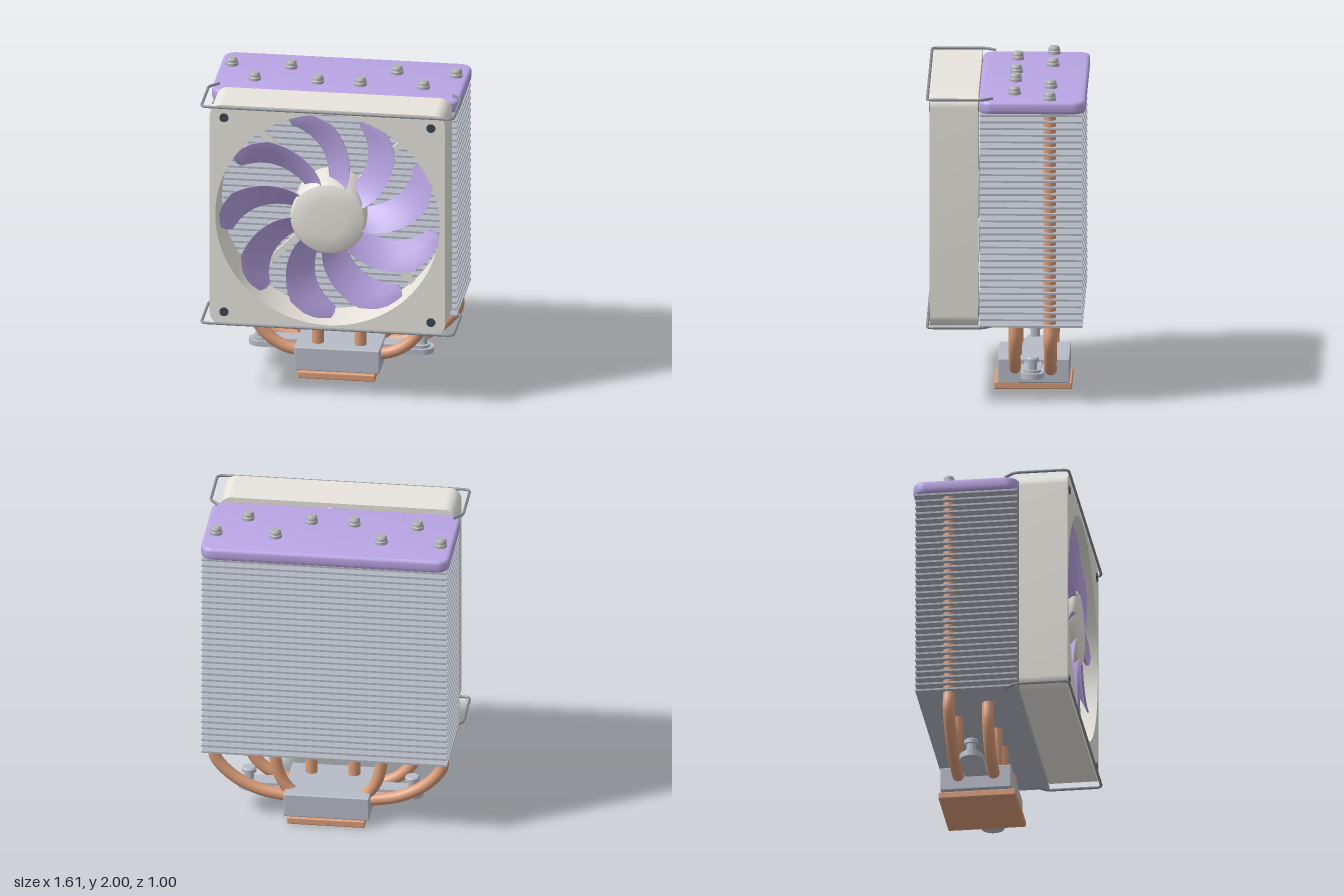
import * as THREE from 'three';
import { toCreasedNormals } from 'three/addons/utils/BufferGeometryUtils.js';
import { RoundedBoxGeometry } from 'three/addons/geometries/RoundedBoxGeometry.js';

const material = (name, color) => {
  const m = new THREE.MeshStandardMaterial({ color });
  m.name = name;
  return m;
};

// Rounded rectangle outline centred on the origin
function roundedRect(w, h, r) {
  const s = new THREE.Shape(), x = w / 2, y = h / 2;
  s.moveTo(-x + r, -y);
  s.lineTo(x - r, -y).absarc(x - r, -y + r, r, -Math.PI / 2, 0, false);
  s.lineTo(x, y - r).absarc(x - r, y - r, r, 0, Math.PI / 2, false);
  s.lineTo(-x + r, y).absarc(-x + r, y - r, r, Math.PI / 2, Math.PI, false);
  s.lineTo(-x, -y + r).absarc(-x + r, -y + r, r, Math.PI, Math.PI * 1.5, false);
  return s;
}

// Smooth turned part from radius and height pairs
const turned = (profile, sides) => toCreasedNormals(
  new THREE.LatheGeometry(profile.map(q => new THREE.Vector2(...q)), sides), 0.6);

// Swept blade: a thin slab remapped to radius, angle and pitch
function bladeGeometry() {
  const g = new THREE.BoxGeometry(1, 1, 0.012, 10, 14, 1);
  const p = g.attributes.position;
  const tip = [0.625, 0.675, 0.695, 0.7, 0.7, 0.63];
  for (let i = 0; i < p.count; i++) {
    const v = 0.5 - p.getX(i), u = p.getY(i) + 0.5;
    const k = Math.min(Math.floor(v * 5), 4);
    const outer = THREE.MathUtils.lerp(tip[k], tip[k + 1], v * 5 - k);
    const r = 0.225 + u * (outer - 0.225);
    const t = Math.max(0, (r - 0.24) / 0.4);
    const right = 61 + 28 * t ** 1.2;
    const left = Math.min(92 + 22 * t ** 2, 115);
    const a = THREE.MathUtils.degToRad(THREE.MathUtils.lerp(right, left, v));
    const pitch = 0.12 - 0.03 * u;
    p.setXYZ(i, r * Math.cos(a), r * Math.sin(a), 0.395 + pitch * (0.5 - v) + p.getZ(i));
  }
  return toCreasedNormals(g, 0.6);
}

export function createModel() {
  const model = new THREE.Group();
  model.name = 'towerCooler';
  const purple = material('purple', 0xb9a5e5);
  const ivory = material('ivory', 0xe7e4dc);
  const copper = material('copper', 0xd99b77);
  const steel = material('steel', 0xb7bbc6);
  const finMetal = material('fin metal', 0xb2b6c0);
  const capMetal = material('cap metal', 0xb0b1b3);
  const wireMetal = material('wire metal', 0x8b8f95);
  const dark = material('dark slate', 0x3d4552);

  const add = (name, geometry, mat, x = 0, y = 0, z = 0, parent = model) => {
    const m = new THREE.Mesh(geometry, mat);
    m.name = name;
    m.position.set(x, y, z);
    parent.add(m);
    return m;
  };

  // Base: copper contact plate and metal block
  add('contactPlate', new RoundedBoxGeometry(0.49, 0.045, 0.49, 2, 0.008), copper, 0, 0.0225, -0.16);
  add('baseBlock', new RoundedBoxGeometry(0.54, 0.155, 0.45, 2, 0.008), steel, 0, 0.122, -0.165);

  // Mounting bar in two tiers, running through the block
  for (const [length, width, y, height] of [[1.17, 0.146, 0.13, 0.035], [1.12, 0.11, 0.165, 0.018]]) {
    const bar = new THREE.ExtrudeGeometry(roundedRect(length, width, width / 2 - 0.001), {
      depth: height, bevelEnabled: false, curveSegments: 12,
    }).rotateX(-Math.PI / 2);
    add('mountBar', toCreasedNormals(bar, 0.6), steel, 0, y, -0.16);
  }

  // Mounting screws
  const mountScrew = turned([[0.03, 0], [0.03, 0.055], [0.045, 0.055], [0.045, 0.078], [0.038, 0.087], [0, 0.087]], 24);
  for (const x of [-0.515, 0.515]) add('mountScrew', mountScrew, steel, x, 0.178, -0.16);

  // Fin stack
  const fin = new THREE.BoxGeometry(1.55, 0.012, 0.645);
  for (let i = 0; i < 33; i++) {
    add('fin', fin, finMetal, 0, 0.51 + i * 0.0422, -0.158);
  }

  // Top cover with softened edges
  const cover = new THREE.ExtrudeGeometry(roundedRect(1.53, 0.63, 0.06), {
    depth: 0.04, bevelEnabled: true, bevelSize: 0.02, bevelThickness: 0.02, bevelSegments: 3, curveSegments: 8,
  });
  cover.rotateX(-Math.PI / 2);
  add('topCover', toCreasedNormals(cover, 0.7), purple, 0, 1.89, -0.165);

  // Heat pipes, bent into the base, with end caps above the cover
  const pipes = [
    { z: -0.275, top: 0.71, bend: [[0.722, 0.4], [0.62, 0.27], [0.45, 0.175], [0.22, 0.13]] },
    { z: -0.05, top: 0.535, bend: [[0.54, 0.38], [0.47, 0.25], [0.35, 0.165], [0.18, 0.13]] },
    { z: -0.275, top: 0.335, bend: [[0.333, 0.38], [0.295, 0.25], [0.23, 0.17], [0.12, 0.13]] },
    { z: -0.05, top: 0.135, bend: [[0.135, 0.35], [0.135, 0.13]] },
  ];
  const cap = turned([[0.04, 0], [0.04, 0.022], [0.035, 0.028], [0.035, 0.042], [0.026, 0.055], [0, 0.055]], 20);
  for (const { z, top, bend } of pipes) {
    for (const s of [-1, 1]) {
      const points = [[top, 1.94], [top, 0.65], [top, 0.52], ...bend]
        .map(([x, y]) => new THREE.Vector3(s * x, y, z));
      const path = new THREE.CatmullRomCurve3(points, false, 'centripetal');
      add('heatPipe', new THREE.TubeGeometry(path, 80, 0.038, 16), copper);
      add('pipeCap', cap, capMetal, s * top, 1.945, z);
    }
  }

  // Fan assembly, centred on its axle
  const fan = new THREE.Group();
  fan.name = 'fan';
  fan.position.y = 1.237;
  model.add(fan);

  const frameShape = roundedRect(1.49, 1.48, 0.075);
  frameShape.holes.push(new THREE.Path().absarc(0, 0, 0.71, 0, Math.PI * 2, true));
  const frame = new THREE.ExtrudeGeometry(frameShape, { depth: 0.305, bevelEnabled: false, curveSegments: 40 });
  add('fanFrame', toCreasedNormals(frame, 0.6), ivory, 0, 0, 0.173, fan);

  // Dark corner screws
  const cornerScrew = new THREE.CylinderGeometry(0.029, 0.029, 0.312, 20).rotateX(Math.PI / 2);
  for (const x of [-0.655, 0.655]) {
    for (const y of [-0.655, 0.655]) add('cornerScrew', cornerScrew, dark, x, y, 0.326, fan);
  }

  // Rear struts carrying the motor
  const strut = new THREE.BoxGeometry(0.56, 0.04, 0.03).translate(0.44, 0, 0);
  for (let i = 0; i < 4; i++) {
    add('strut', strut, ivory, 0, 0, 0.192, fan).rotation.z = Math.PI / 4 + i * Math.PI / 2;
  }

  // Hub with rounded front rim
  const hub = turned([[0, 0], [0.24, 0], [0.24, 0.262], [0.234, 0.275], [0.222, 0.283], [0.12, 0.29], [0, 0.292]], 48);
  add('hub', hub.rotateX(Math.PI / 2), ivory, 0, 0, 0.178, fan);

  const blade = bladeGeometry();
  for (let i = 0; i < 9; i++) {
    add('blade', blade, purple, 0, 0, 0, fan).rotation.z = (i * Math.PI * 2) / 9;
  }

  // Wire clips hooking the fan to the fins
  const clipHalf = [[0.74, 0.085], [0.79, 0.14], [0.798, 0.165], [0.798, 0.3], [0.798, 0.46], [0.789, 0.484], [0.765, 0.492]];
  const clip = [...clipHalf, [0, 0.492], ...clipHalf.slice().reverse().map(([x, z]) => [-x, z])];
  const clipPath = new THREE.CurvePath();
  for (let i = 1; i < clip.length; i++) {
    const [a, b] = [clip[i - 1], clip[i]].map(([x, z]) => new THREE.Vector3(x, 0, z));
    clipPath.add(new THREE.LineCurve3(a, b));
  }
  const clipGeometry = new THREE.TubeGeometry(clipPath, 200, 0.009, 8);
  add('upperClip', clipGeometry, wireMetal, 0, 1.965, 0);
  add('lowerClip', clipGeometry, wireMetal, 0, 0.506, 0);

  return model;
}
